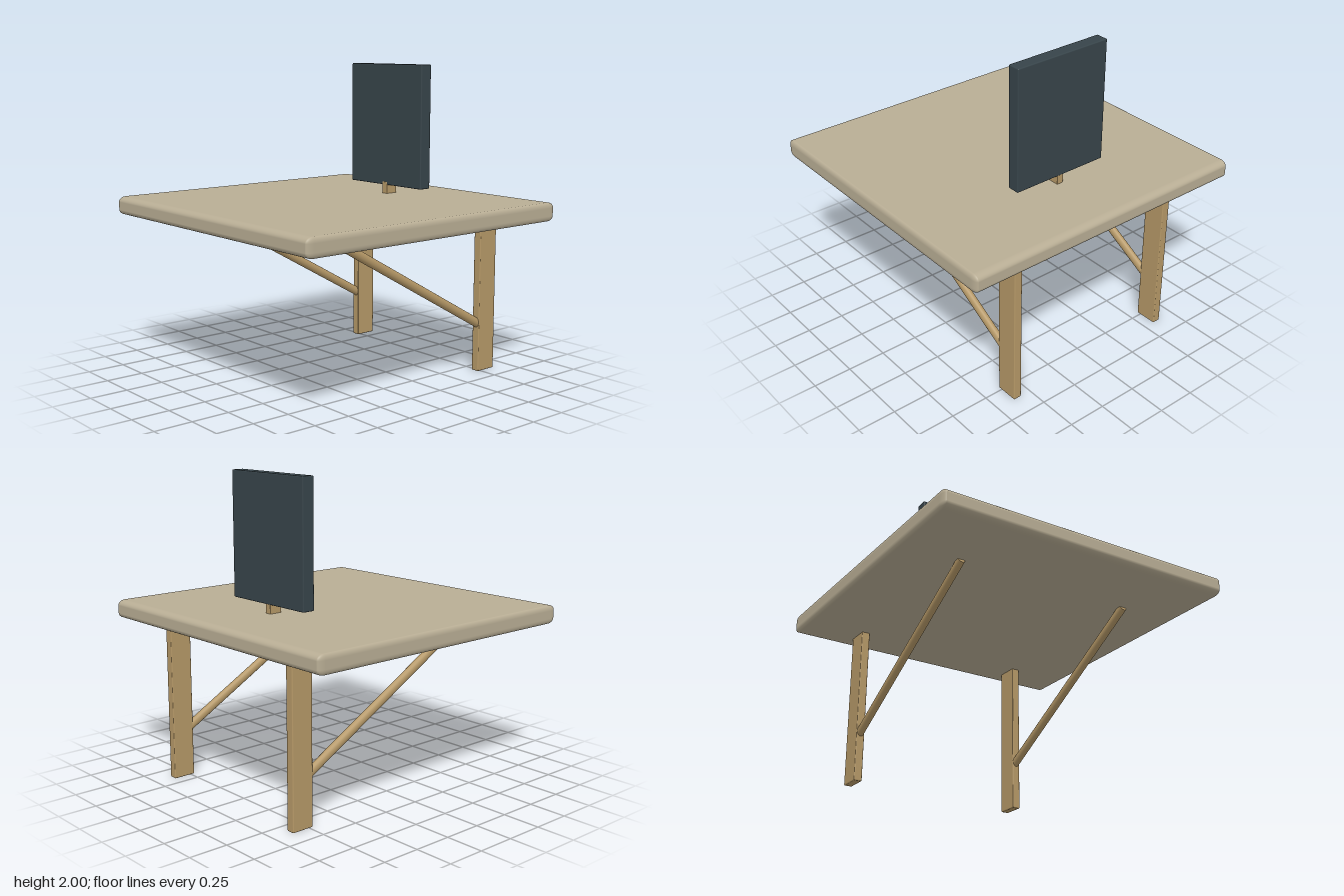
import * as THREE from 'three';
import { RoundedBoxGeometry } from 'three/addons/geometries/RoundedBoxGeometry.js';

const paint = (color) => new THREE.MeshStandardMaterial({ color });

// Rounded box whose edge radius may differ along each axis
function softBox(name, size, radii, centre, material) {
  const r = 0.02;
  const scale = radii.map((v) => v / r);
  const geometry = new RoundedBoxGeometry(...size.map((s, i) => s / scale[i]), 4, r);
  geometry.scale(...scale);
  const mesh = new THREE.Mesh(geometry, material);
  mesh.name = name;
  mesh.position.set(...centre);
  return mesh;
}

// Round strut between two points in the plane of a leg
function strut(name, x, from, to, material) {
  const [y0, z0] = from, [y1, z1] = to;
  const geometry = new THREE.CylinderGeometry(1, 1, Math.hypot(y1 - y0, z1 - z0), 16);
  geometry.scale(0.025, 1, 0.03);
  const mesh = new THREE.Mesh(geometry, material);
  mesh.name = name;
  mesh.position.set(x, (y0 + y1) / 2, (z0 + z1) / 2);
  mesh.rotation.x = Math.atan2(z1 - z0, y1 - y0);
  return mesh;
}

export function createModel() {
  const model = new THREE.Group();
  model.name = 'deskWithPanel';
  const topWood = paint(0xb8ad94);
  const legWood = paint(0xb59867);
  const dark = paint(0x37444a);

  // Thick square top, softer along the front and back edges
  model.add(softBox('tableTop', [2, 0.12, 2], [0.02, 0.035, 0.05], [0, 1.083, 0], topWood));

  // Rear legs, each with a diagonal brace running forward to the top
  for (const [side, sign] of [['left', 1], ['right', -1]]) {
    const x = 0.6 * sign;
    model.add(softBox(side + 'Leg', [0.055, 1.05, 0.148], [0.006, 0.008, 0.006], [x, 0.525, -0.798], legWood));
    model.add(strut(side + 'Brace', x, [0.297, -0.78], [1.026, 0.515], legWood));
  }

  // Upright panel on a short stem
  model.add(softBox('panelStem', [0.046, 0.11, 0.085], [0.003, 0.003, 0.003], [0, 1.165, -0.4975], legWood));
  model.add(softBox('uprightPanel', [0.676, 0.8, 0.085], [0.007, 0.007, 0.007], [0, 1.6, -0.5], dark));
  return model;
}
